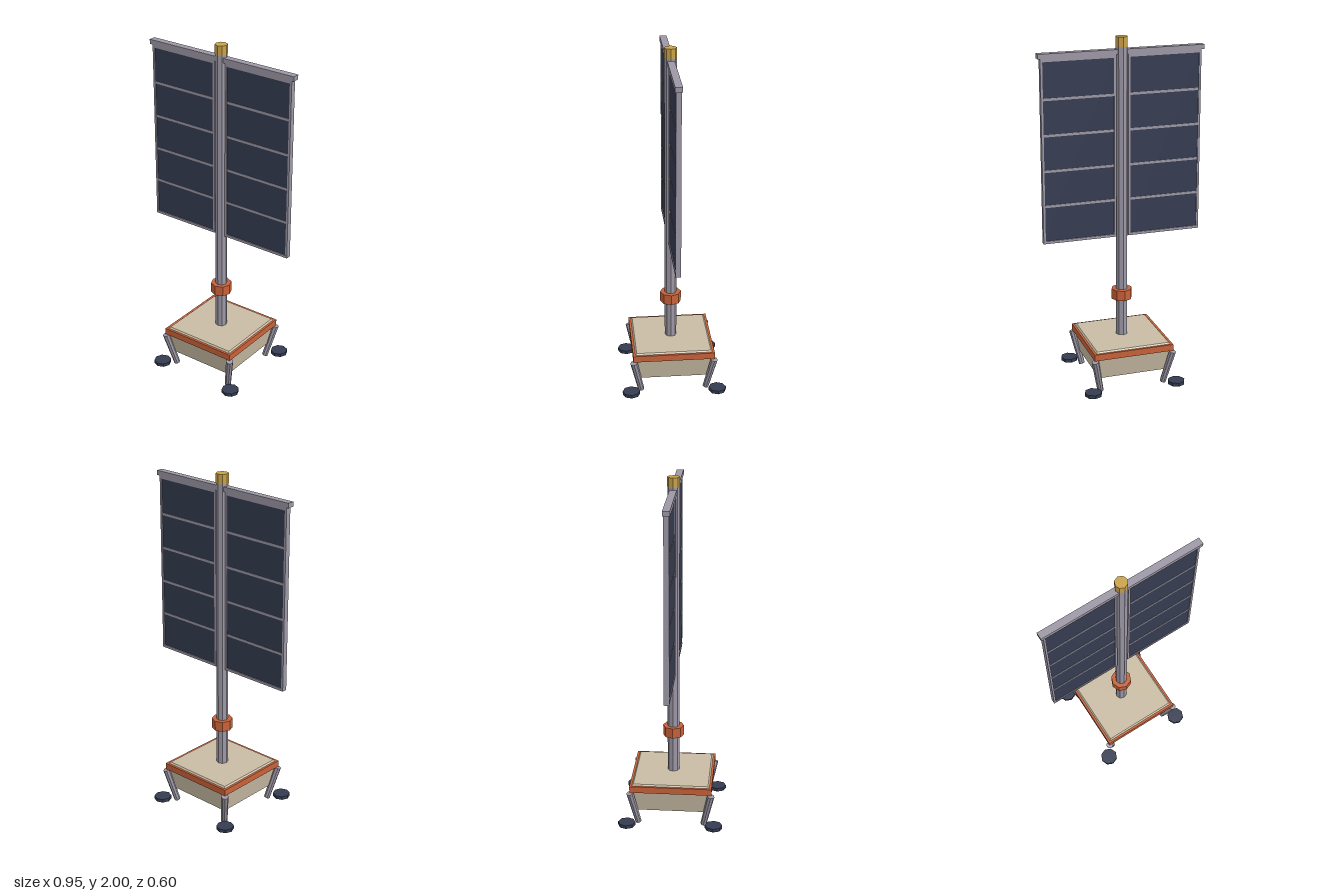
import * as THREE from 'three';

function mat(name, color) {
  const m = new THREE.MeshStandardMaterial({ color, flatShading: true });
  m.name = name;
  return m;
}

export function createModel() {
  const model = new THREE.Group();
  model.name = 'solarMast';
  const metal = mat('greyMetal', 0x9d98a6);
  const navy = mat('navy', 0x353c51);
  const orange = mat('orange', 0xc8623a);
  const tan = mat('tan', 0xc9bca4);
  const gold = mat('gold', 0xc9a24b);

  const add = (parent, name, geo, material, x = 0, y = 0, z = 0) => {
    const mesh = new THREE.Mesh(geo, material);
    mesh.name = name;
    mesh.position.set(x, y, z);
    parent.add(mesh);
    return mesh;
  };
  const box = (parent, name, material, x0, x1, y0, y1, halfZ) =>
    add(parent, name, new THREE.BoxGeometry(x1 - x0, y1 - y0, halfZ * 2), material, (x0 + x1) / 2, (y0 + y1) / 2);
  const octagon = (name, material, r, y0, y1, x = 0, z = 0) =>
    add(model, name, new THREE.CylinderGeometry(r, r, y1 - y0, 8), material, x, (y0 + y1) / 2, z);
  // Square block whose sides lean between a bottom and a top half-width
  const taperedBlock = (name, material, bottom, top, y0, y1) =>
    add(model, name, new THREE.CylinderGeometry(top * Math.SQRT2, bottom * Math.SQRT2, y1 - y0, 4).rotateY(Math.PI / 4),
      material, 0, (y0 + y1) / 2, 0);

  // Base: tapered body, rim and bevelled lid
  taperedBlock('baseBody', tan, 0.2, 0.222, 0.087, 0.22);
  taperedBlock('baseRim', orange, 0.235, 0.235, 0.212, 0.25);
  taperedBlock('baseLid', tan, 0.222, 0.214, 0.25, 0.258);

  // Mast with collar and cap
  octagon('mast', metal, 0.034, 0.25, 1.945);
  octagon('mastCollar', orange, 0.06, 0.48, 0.54);
  octagon('mastCap', gold, 0.035, 1.945, 2.0);

  // Four leaning legs and their foot pads
  const up = new THREE.Vector3(0, 1, 0);
  for (const sx of [-1, 1]) {
    for (const sz of [-1, 1]) {
      const top = new THREE.Vector3(0.232 * sx, 0.207, 0.232 * sz);
      const foot = new THREE.Vector3(0.189 * sx, 0.006, 0.189 * sz);
      const axis = top.clone().sub(foot);
      const leg = add(model, 'leg', new THREE.CylinderGeometry(0.021, 0.018, axis.length(), 8), metal);
      leg.position.copy(top).add(foot).multiplyScalar(0.5);
      leg.quaternion.setFromUnitVectors(up, axis.normalize());
      octagon('footPad', navy, 0.05, 0.012, 0.032, 0.25 * sx, 0.25 * sz);
    }
  }

  // Crossbar carrying the two panels
  box(model, 'crossbar', metal, -0.475, 0.475, 1.905, 1.932, 0.02);

  // Panels: framed cell sheet, divided into five rows on both faces
  const bottom = 0.862, top = 1.905, rows = 5;
  for (const side of [-1, 1]) {
    const panel = new THREE.Group();
    panel.name = side > 0 ? 'leftPanel' : 'rightPanel';
    panel.position.x = 0.2475 * side;
    model.add(panel);
    const w = 0.2125;
    box(panel, 'cellSheet', navy, -w + 0.005, w - 0.005, bottom + 0.005, top - 0.005, 0.01);
    box(panel, 'bottomRail', metal, -w, w, bottom, bottom + 0.015, 0.015);
    box(panel, 'topRail', metal, -w, w, top - 0.018, top, 0.015);
    for (const s of [-1, 1]) {
      const x = s * (w - 0.006);
      box(panel, 'sideRail', metal, x - 0.006, x + 0.006, bottom, top, 0.0149);
    }
    for (let i = 1; i < rows; i++) {
      const y = 0.878 + i * 0.201;
      box(panel, 'rowDivider', metal, -w + 0.01, w - 0.01, y - 0.007, y + 0.007, 0.012);
    }
  }
  return model;
}
